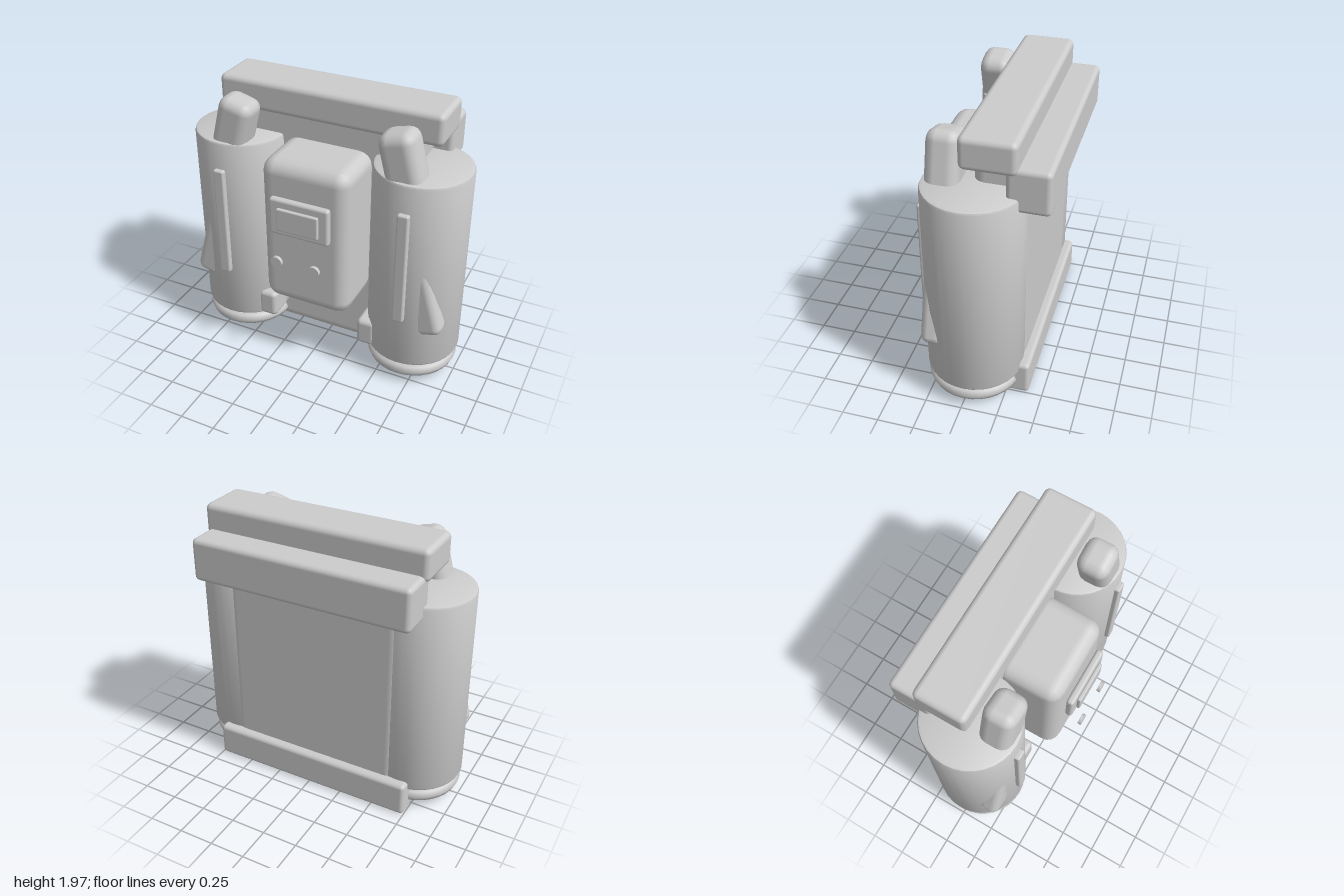
import * as THREE from 'three';
import { RoundedBoxGeometry } from 'three/addons/geometries/RoundedBoxGeometry.js';
import { toCreasedNormals } from 'three/addons/utils/BufferGeometryUtils.js';

export function createModel() {
  const pack = new THREE.Group();
  pack.name = 'backpack';
  const grey = new THREE.MeshStandardMaterial({ color: 0xcccccc });
  grey.name = 'light grey';

  const add = (name, geometry, x, y, z) => {
    const mesh = new THREE.Mesh(geometry, grey);
    mesh.name = name;
    mesh.position.set(x, y, z);
    pack.add(mesh);
    return mesh;
  };

  // Rounded box given by its lower and upper bounds
  const box = (name, [x0, x1], [y0, y1], [z0, z1], radius) =>
    add(name, new RoundedBoxGeometry(x1 - x0, y1 - y0, z1 - z0, 2, radius),
      (x0 + x1) / 2, (y0 + y1) / 2, (z0 + z1) / 2);

  // Back panel and the cross bars
  box('backPanel', [-0.65, 0.65], [0.02, 1.82], [-0.345, 0], 0.08);
  box('topBar', [-0.8, 0.8], [1.75, 1.97], [-0.32, 0.045], 0.04);
  box('upperBackBar', [-0.78, 0.78], [1.5, 1.8], [-0.52, -0.24], 0.035);
  box('lowerBackBar', [-0.75, 0.75], [0.005, 0.25], [-0.405, -0.14], 0.03);

  // Control box with its display
  box('controlBox', [-0.32, 0.32], [0.5, 1.6], [-0.08, 0.395], 0.1);
  box('displayFrame', [-0.215, 0.215], [1.1, 1.37], [0.407, 0.459], 0.02);
  box('displayScreen', [-0.15, 0.15], [1.15, 1.315], [0.457, 0.485], 0.01);

  // Tank profile, from the middle of the base to the middle of the top
  const profile = [[0, 0.18], [0.31, 0.18], [0.324, 0.186], [0.33, 0.2],
    [0.33, 1.58], [0.324, 1.594], [0.31, 1.6], [0, 1.6]]
    .map(([r, y]) => new THREE.Vector2(r, y));
  const tank = toCreasedNormals(new THREE.LatheGeometry(profile, 32), 0.6);
  const ring = new THREE.TorusGeometry(0.27, 0.05, 8, 32).rotateX(Math.PI / 2);
  const button = new THREE.CylinderGeometry(0.04, 0.04, 0.024, 24).rotateX(Math.PI / 2);
  const pipe = new RoundedBoxGeometry(0.25, 0.5, 0.225, 2, 0.075);
  const fin = new RoundedBoxGeometry(0.19, 0.62, 0.155, 2, 0.055);

  // Everything that is mirrored left and right
  for (const [side, s] of [['left', 1], ['right', -1]]) {
    const span = (a, b) => (s > 0 ? [a, b] : [-b, -a]);
    add(side + 'Tank', tank, s * 0.67, 0, -0.015);
    add(side + 'BaseRing', ring, s * 0.67, 0.11, -0.01);
    add(side + 'Button', button, s * 0.138, 0.922, 0.513);
    box(side + 'TankStrip', span(0.63, 0.71), [0.57, 1.4], [0.29, 0.347], 0.014);
    box(side + 'Clip', span(0.325, 0.468), [0.185, 0.39], [0.04, 0.235], 0.035);
    add(side + 'TopPipe', pipe, s * 0.612, 1.652, 0.177).rotation.z = s * 0.25;
    add(side + 'SideFin', fin, s * 0.793, 0.76, 0.21).rotation.z = s * 0.27;
  }
  return pack;
}
